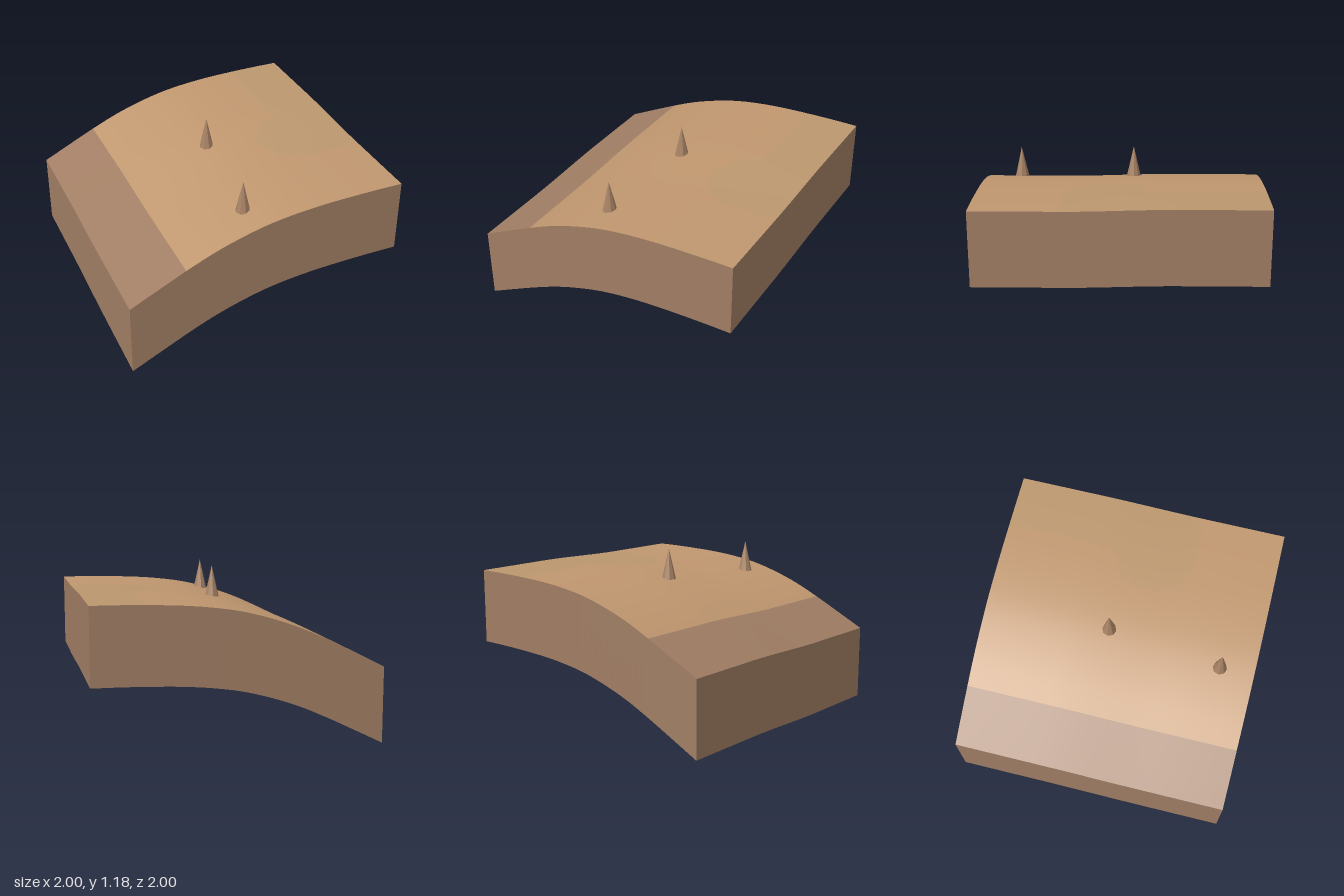
import * as THREE from 'three';

const SEGMENTS = 40;
const DEPTH = 0.535;

const paint = (name, color, side = THREE.DoubleSide) => {
  const material = new THREE.MeshStandardMaterial({ color, side });
  material.name = name;
  return material;
};

// Slope profile along x, sampled every 0.2
const xs = Float32Array.from({ length: 11 }, (_, i) => -1 + i * 0.2);
const ys = new Float32Array([0.537, 0.637, 0.735, 0.824, 0.893, 0.945, 0.976, 0.994, 1.003, 1.008, 1.009]);
const profile = new THREE.CubicInterpolant(xs, ys, 1);

// The ground rises slightly toward the back
function height(x, z) {
  const base = profile.evaluate(THREE.MathUtils.clamp(x, -1, 1))[0];
  return base + 0.018 * THREE.MathUtils.smoothstep(-z, -0.4, 0.4);
}

// Material index of a ground cell: 0 bare slope, 1 tan ground, 2 ochre ground
function groundTone(x, z) {
  if (x < -0.6) return 0;
  const patch = Math.hypot((x - 0.75) / 0.4, (z - 0.1) / 0.32) < 1;
  const corner = x > 0.6 && z < 0;
  return patch || corner ? 2 : 1;
}

function buildGround(materials) {
  const geometry = new THREE.PlaneGeometry(2, 2, SEGMENTS, SEGMENTS).rotateX(-Math.PI / 2);
  const pos = geometry.attributes.position;
  for (let i = 0; i < pos.count; i++) pos.setY(i, height(pos.getX(i), pos.getZ(i)));
  geometry.computeVertexNormals();

  // Sort the cells by tone so that each tone is one group
  const index = geometry.index.array;
  const tones = [[], [], []];
  for (let i = 0; i < index.length; i += 6) {
    const cell = i / 6;
    const x = -1 + ((cell % SEGMENTS) + 0.5) * 2 / SEGMENTS;
    const z = -1 + (Math.floor(cell / SEGMENTS) + 0.5) * 2 / SEGMENTS;
    tones[groundTone(x, z)].push(...index.slice(i, i + 6));
  }
  geometry.setIndex(tones.flat());
  let start = 0;
  tones.forEach((tone, k) => {
    geometry.addGroup(start, tone.length, k);
    start += tone.length;
  });
  const mesh = new THREE.Mesh(geometry, materials);
  mesh.name = 'ground';
  return mesh;
}

// One vertical skirt wall that follows the ground edge at top and bottom
function buildWall(name, angle, material) {
  const geometry = new THREE.PlaneGeometry(2, 2, SEGMENTS, 1).translate(0, 0, 1).rotateY(angle);
  const pos = geometry.attributes.position;
  for (let i = 0; i < pos.count; i++) {
    const top = height(pos.getX(i), pos.getZ(i));
    pos.setY(i, pos.getY(i) > 0 ? top : top - DEPTH);
  }
  const mesh = new THREE.Mesh(geometry, material);
  mesh.name = name;
  return mesh;
}

export function createModel() {
  const model = new THREE.Group();
  model.name = 'terrainTile';
  const earth = paint('earth brown', 0xa17e64);
  const tan = paint('ground tan', 0xc0976f);
  const ochre = paint('ground ochre', 0xbb976e);
  const stone = paint('spike brown', 0xa88364, THREE.FrontSide);
  stone.flatShading = true;

  model.add(buildGround([earth, tan, ochre]));
  ['frontWall', 'leftWall', 'backWall', 'rightWall'].forEach((name, i) => {
    model.add(buildWall(name, i * Math.PI / 2, earth));
  });

  // Pointed spikes standing on the slope
  const spikeGeometry = new THREE.ConeGeometry(0.052, 0.23, 8).translate(0, 0.115, 0);
  [[0, -0.085], [-0.085, 0.75]].forEach(([x, z], i) => {
    const spike = new THREE.Mesh(spikeGeometry, stone);
    spike.name = `spike${i + 1}`;
    spike.position.set(x, height(x, z) - 0.005, z);
    model.add(spike);
  });
  return model;
}
